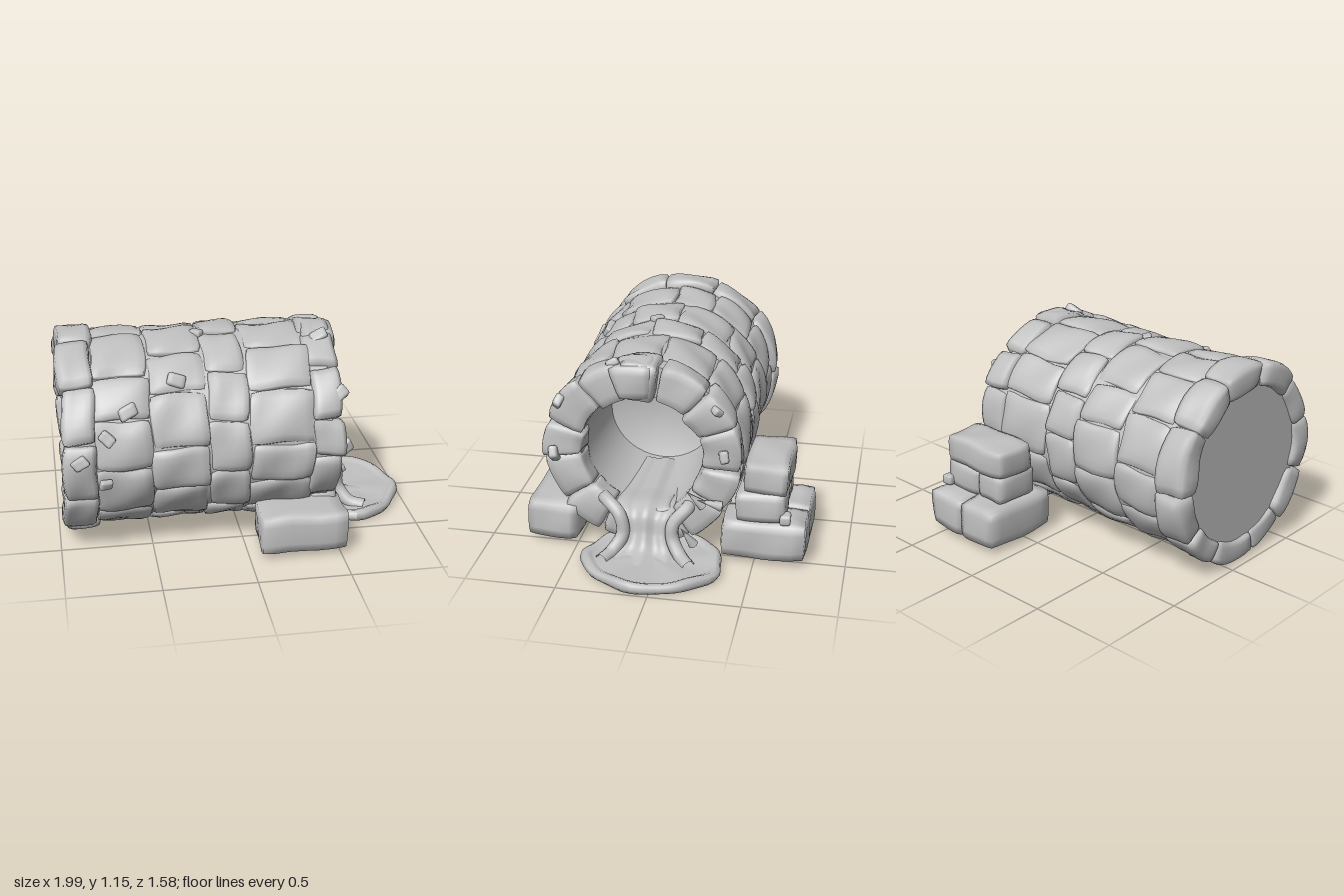
import * as THREE from 'three';
import { mergeVertices, toCreasedNormals } from 'three/addons/utils/BufferGeometryUtils.js';
import { ParametricGeometry } from 'three/addons/geometries/ParametricGeometry.js';

// Small seeded generator for stone irregularity
let seed = 7;
const rnd = () => (seed = (seed * 16807) % 2147483647) / 2147483647;
const jit = (a) => (rnd() - 0.5) * 2 * a;

// Chunky stone block with softened edges and a gently uneven surface
function stoneGeometry(w, h, d, round, rough) {
  const g = new THREE.BoxGeometry(w, h, d, 6, 4, 6);
  g.deleteAttribute('normal');
  g.deleteAttribute('uv');
  const geo = mergeVertices(g);
  const p = geo.attributes.position;
  const inner = new THREE.Vector3(w / 2 - round, h / 2 - round, d / 2 - round);
  const low = inner.clone().negate();
  const v = new THREE.Vector3(), q = new THREE.Vector3();
  const ph = rnd() * 20;
  for (let i = 0; i < p.count; i++) {
    v.fromBufferAttribute(p, i);
    q.copy(v).clamp(low, inner);
    v.sub(q);
    if (v.length() > 1e-6) v.setLength(round);
    v.add(q);
    v.x += rough * Math.sin(v.y * 13 + v.z * 17 + ph);
    v.y += rough * Math.sin(v.x * 19 + v.z * 15 + ph * 2);
    v.z += rough * Math.sin(v.x * 16 + v.y * 11 + ph * 3);
    p.setXYZ(i, v.x, v.y, v.z);
  }
  geo.computeVertexNormals();
  return geo;
}

// Stone bent around the pipe axis: radius takes y, angle takes z
function archStone(x0, x1, r0, r1, a0, a1, rough = 0.007) {
  const rm = (r0 + r1) / 2, am = (a0 + a1) / 2;
  const geo = stoneGeometry(x1 - x0, r1 - r0, (a1 - a0) * rm, 0.026, rough);
  const p = geo.attributes.position;
  for (let i = 0; i < p.count; i++) {
    const r = rm + p.getY(i), a = am + p.getZ(i) / rm;
    p.setXYZ(i, (x0 + x1) / 2 + p.getX(i), r * Math.cos(a), r * Math.sin(a));
  }
  geo.computeVertexNormals();
  return geo;
}

export function createModel() {
  seed = 7;
  const model = new THREE.Group();
  model.name = 'stoneDrainPipe';
  const stone = new THREE.MeshStandardMaterial({ color: 0xc0c0c0, side: THREE.DoubleSide });
  stone.name = 'stoneGrey';
  const add = (name, geo, parent = model) => {
    const m = new THREE.Mesh(geo, stone);
    m.name = name;
    parent.add(m);
    return m;
  };

  const pipe = new THREE.Group();
  pipe.name = 'pipe';
  pipe.position.set(0, 0.578, 0.13);
  pipe.scale.z = 1.03;
  model.add(pipe);

  // Mortar core with closed back and hollow bore
  const profile = [[0, -0.945], [0.47, -0.945], [0.515, -0.9], [0.515, 0.46], [0.34, 0.46],
    [0.335, 0.3], [0.315, 0.1], [0.3, -0.1], [0.2, -0.14], [0, -0.16]]
    .map(([r, x]) => new THREE.Vector2(r, x));
  const core = toCreasedNormals(new THREE.LatheGeometry(profile, 48), 0.6);
  core.rotateZ(-Math.PI / 2);
  add('mortarCore', core, pipe);

  // One course of stones around the pipe
  const course = (name, x0, x1, r0, r1, count, shift, gap, bump, slip) => {
    const step = (Math.PI * 2) / count;
    const cuts = Array.from({ length: count }, (_, i) => (i + shift) * step + jit(step * 0.12));
    cuts.push(cuts[0] + Math.PI * 2);
    for (let i = 0; i < count; i++) {
      add(name, archStone(x0 + jit(slip), x1 + jit(slip), r0 + jit(bump), r1 + jit(bump),
        cuts[i] + gap, cuts[i + 1] - gap), pipe);
    }
  };
  const seams = [-0.8, -0.5, -0.2, 0.02, 0.37];
  for (let i = 0; i < 4; i++) {
    course('wallStone', seams[i] + 0.001, seams[i + 1] - 0.001, 0.44, 0.537, 12, i * 0.5 + 0.2, 0.002, 0.006, 0.006);
  }
  course('frontRimStone', 0.35, 0.525, 0.33, 0.538, 13, 0.5, 0.004, 0.01, 0.012);
  course('backRimStone', -0.972, -0.785, 0.43, 0.56, 11, 0.3, 0.001, 0.008, 0.008);

  // Keystone bulging at the top of the mouth
  add('keystone', archStone(0.36, 0.55, 0.35, 0.54, -0.14, 0.32), pipe);

  // Loose chips stuck to the masonry: x, angle, radius, size
  [[-0.74, 1.3, 0.55, 0.06], [-0.75, 1.75, 0.55, 0.05], [-0.62, 1.05, 0.53, 0.07], [-0.35, 0.75, 0.53, 0.07],
    [-0.88, 1.5, 0.575, 0.06], [0.5, 1.0, 0.52, 0.07], [0.52, -0.9, 0.5, 0.06], [0.53, -1.45, 0.45, 0.07],
    [0.45, 0.3, 0.53, 0.07], [0.53, 1.6, 0.47, 0.07], [-0.2, 0.1, 0.53, 0.05]].forEach(([x, a, r, s]) => {
    const chip = add('stoneChip', stoneGeometry(s * 1.4, s * 0.7, s, s * 0.2, 0.006), pipe);
    chip.position.set(x, r * Math.cos(a), r * Math.sin(a));
    chip.rotation.set(a + jit(0.4), jit(0.8), jit(0.3));
  });

  // Supporting blocks: x0, x1, y0, y1, z0, z1
  [[0.06, 0.54, 0.03, 0.25, 0.49, 0.785],
    [0.06, 0.33, 0.035, 0.26, -0.79, -0.33], [0.32, 0.575, 0.035, 0.255, -0.785, -0.32],
    [0.11, 0.3, 0.25, 0.42, -0.67, -0.4], [0.29, 0.55, 0.25, 0.42, -0.665, -0.39],
    [0.1, 0.53, 0.41, 0.58, -0.68, -0.43]].forEach(([x0, x1, y0, y1, z0, z1]) => {
    const b = add('supportBlock', stoneGeometry(x1 - x0, y1 - y0, z1 - z0, 0.028, 0.005));
    b.position.set((x0 + x1) / 2, (y0 + y1) / 2, (z0 + z1) / 2);
  });
  const pebble = add('pebble', stoneGeometry(0.07, 0.06, 0.06, 0.015, 0.004));
  pebble.position.set(0.54, 0.29, -0.67);

  // Puddle with raised wavy rim
  const rim = [[0, 0], [0.96, 0], [1, 0.025], [0.98, 0.05], [0.92, 0.06], [0.85, 0.05], [0.8, 0.038], [0, 0.045]]
    .map(([r, y]) => new THREE.Vector2(r, y));
  const puddle = new THREE.LatheGeometry(rim, 48);
  const pp = puddle.attributes.position;
  for (let i = 0; i < pp.count; i++) {
    const x = pp.getX(i), z = pp.getZ(i), a = Math.atan2(z, x);
    const k = 1 + 0.025 * Math.sin(a * 5 + 1) + 0.015 * Math.sin(a * 9);
    pp.setXYZ(i, 0.67 + x * k * 0.32, 0.004 + pp.getY(i) * (1 + 0.12 * Math.sin(a * 6)), 0.04 + z * k * 0.39);
  }
  puddle.computeVertexNormals();
  add('puddle', puddle);

  // Sheet of liquid pouring over the lip: path in x, y and half width
  const path = new THREE.CatmullRomCurve3([[-0.05, 0.295, 0.16], [0.3, 0.285, 0.18], [0.5, 0.285, 0.2],
    [0.57, 0.24, 0.17], [0.6, 0.14, 0.15], [0.65, 0.07, 0.19], [0.78, 0.035, 0.24]]
    .map((c) => new THREE.Vector3(...c)));
  const c = new THREE.Vector3();
  add('pouringSheet', new ParametricGeometry((u, v, t) => {
    path.getPoint(u, c);
    const s = v * 2 - 1;
    const ripple = 0.008 * Math.cos(s * 9) - 0.02 * s * s;
    t.set(c.x + ripple, c.y + ripple, 0.1 - s * c.z);
  }, 36, 16));

  // Thick strands at both sides of the flow
  [[[0.44, 0.29, 0.38], [0.54, 0.3, 0.31], [0.585, 0.25, 0.24], [0.6, 0.14, 0.22], [0.66, 0.055, 0.27], [0.74, 0.04, 0.31]],
    [[0.44, 0.31, -0.14], [0.54, 0.3, -0.13], [0.585, 0.22, -0.06], [0.6, 0.13, -0.06], [0.65, 0.06, -0.11], [0.72, 0.04, -0.17]],
  ].forEach((pts) => {
    const curve = new THREE.CatmullRomCurve3(pts.map((q) => new THREE.Vector3(...q)));
    add('pouringStrand', new THREE.TubeGeometry(curve, 28, 0.038, 10));
  });

  // Small splash spikes on the right of the mouth
  [[-0.25, 0.35, 1.2], [-0.17, 0.37, 0.7], [-0.13, 0.13, 0.5]].forEach(([z, y, tilt]) => {
    const spike = add('splashSpike', new THREE.ConeGeometry(0.03, 0.14, 8));
    spike.position.set(0.55, y, z);
    spike.rotation.set(tilt, 0, -0.3);
  });

  return model;
}
